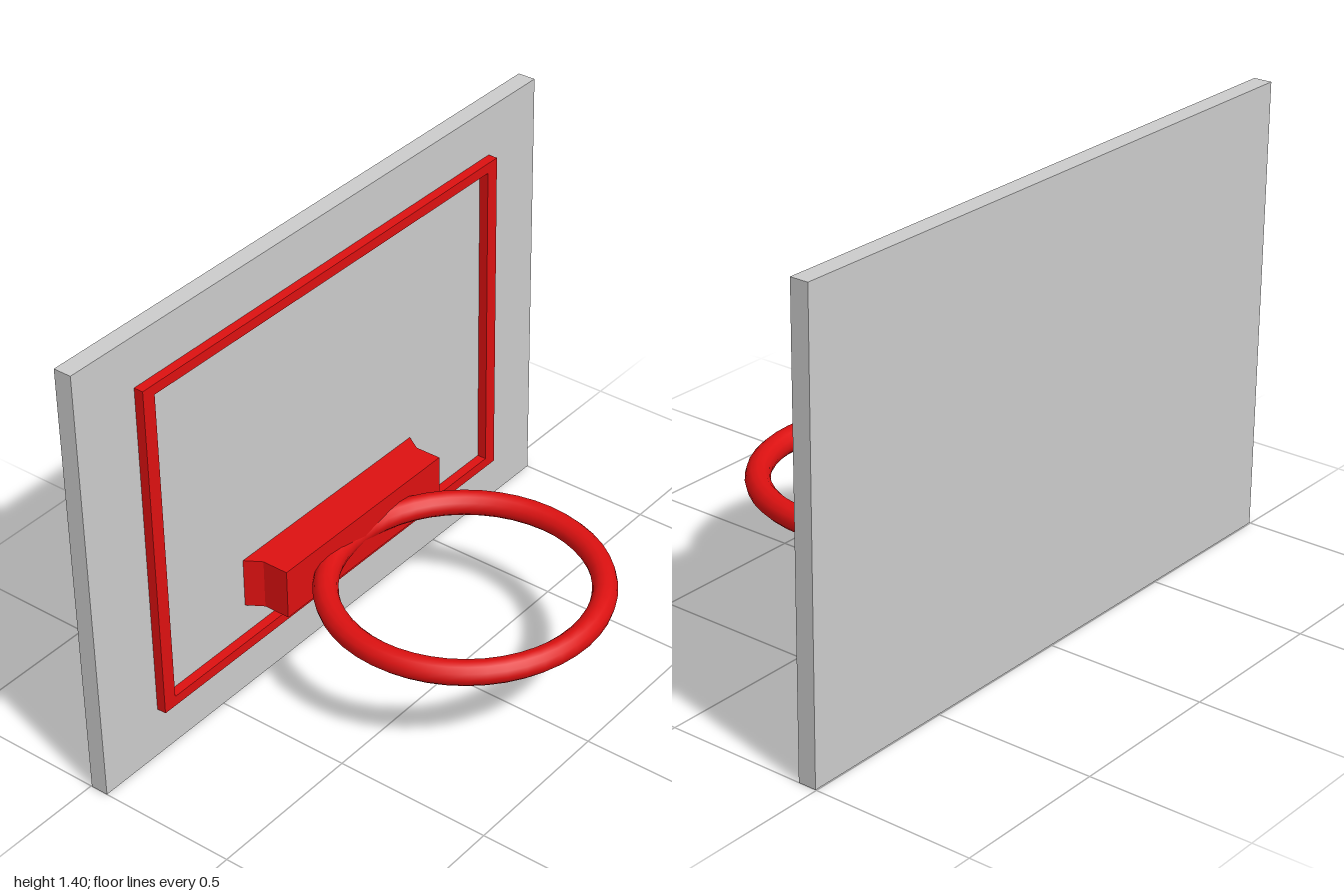
import * as THREE from 'three';

const grey = new THREE.MeshStandardMaterial({ color: 0xcccccc });
const red = new THREE.MeshStandardMaterial({ color: 0xdd1111 });

function add(group, name, geometry, material) {
  const mesh = new THREE.Mesh(geometry, material);
  mesh.name = name;
  group.add(mesh);
  return mesh;
}

// Closed outline from [x, y] corner points
const outline = (Type, points) => new Type(points.map(([x, y]) => new THREE.Vector2(x, y)));
const rect = (x, y0, y1) => [[-x, y0], [x, y0], [x, y1], [-x, y1]];

export function createModel() {
  const model = new THREE.Group();
  model.name = 'basketballHoop';

  // Backboard, facing +x
  add(model, 'backboard', new THREE.BoxGeometry(0.057, 1.4, 2), grey).position.set(-0.4685, 0.7, 0);

  // Raised rectangular border on the board
  const border = outline(THREE.Shape, rect(0.775, 0.16, 1.245));
  border.holes.push(outline(THREE.Path, rect(0.731, 0.192, 1.213)));
  const borderGeometry = new THREE.ExtrudeGeometry(border, { depth: 0.03, bevelEnabled: false });
  borderGeometry.rotateY(Math.PI / 2);
  add(model, 'targetBorder', borderGeometry, red).position.x = -0.44;

  // Mounting bracket: plan outline flared towards the board, extruded upwards
  const plan = outline(THREE.Shape, [
    [-0.44, -0.387], [-0.39, -0.356], [-0.305, -0.356],
    [-0.305, 0.356], [-0.39, 0.356], [-0.44, 0.387],
  ]);
  const bracketGeometry = new THREE.ExtrudeGeometry(plan, { depth: 0.16, bevelEnabled: false });
  bracketGeometry.rotateX(-Math.PI / 2);
  add(model, 'bracket', bracketGeometry, red).position.y = 0.29;

  // Horizontal ring
  const ringGeometry = new THREE.TorusGeometry(0.4, 0.0375, 12, 48);
  ringGeometry.rotateX(Math.PI / 2);
  add(model, 'ring', ringGeometry, red).position.set(0.0595, 0.361, 0);

  return model;
}
